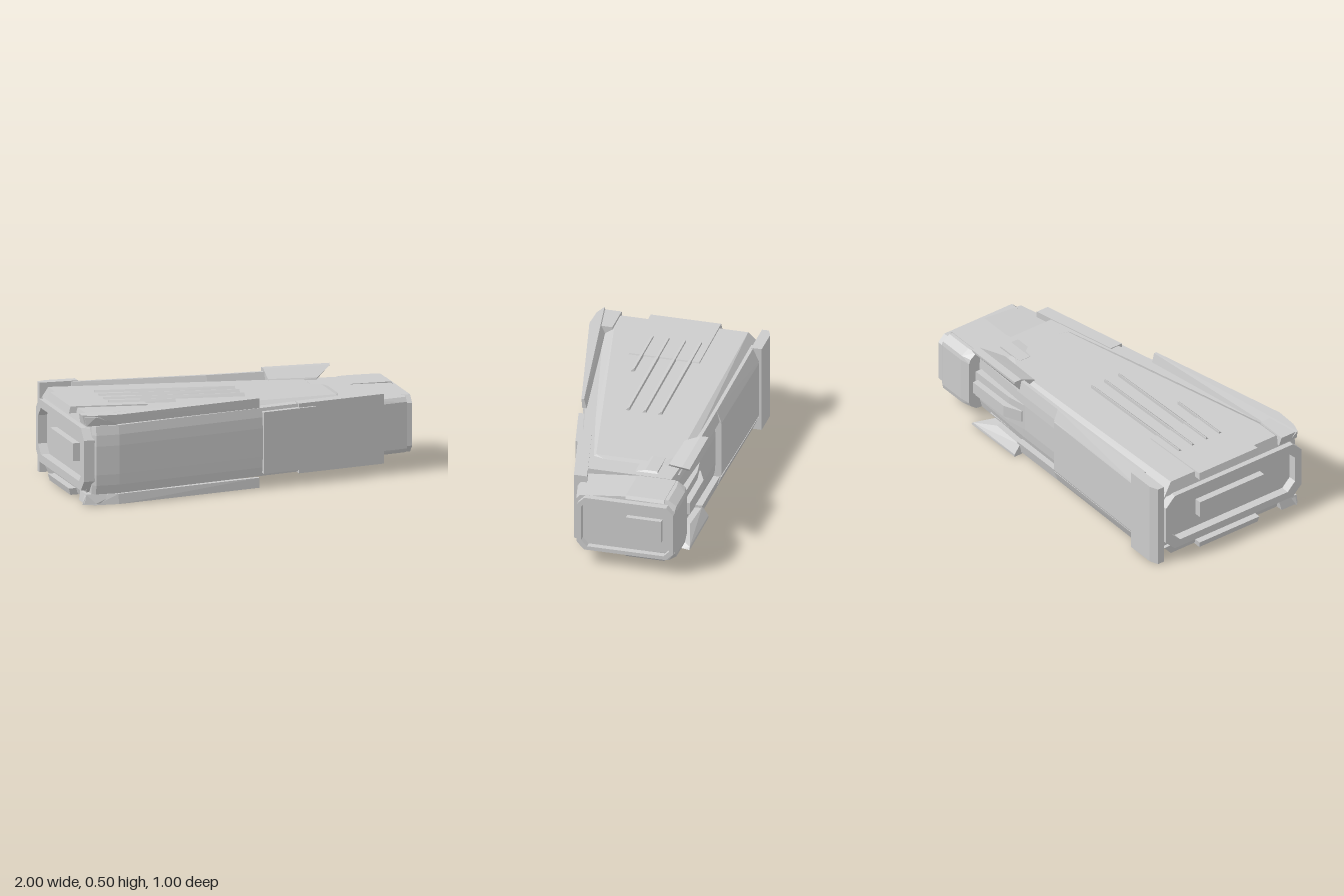
import * as THREE from 'three';
import { ConvexGeometry } from 'three/addons/geometries/ConvexGeometry.js';

const MID = 0.25; // the model mirrors above and below this height

export function createModel() {
  const model = new THREE.Group();
  const grey = new THREE.MeshStandardMaterial({ color: 0xcccccc, flatShading: true });

  const add = (name, geometry) => {
    const mesh = new THREE.Mesh(geometry, grey);
    mesh.name = name;
    model.add(mesh);
  };
  // Layers are [height, outline]; outline points are [x, z, optional lift]
  const points = (layers, flip) => layers.flatMap(([y, outline]) => outline.map(
    ([x, z, lift = 0]) => new THREE.Vector3(x, flip ? 2 * MID - y - lift : y + lift, z)));
  // Convex solid on the top and, flipped, on the underside
  const pair = (name, layers) => {
    add(name + 'Top', new ConvexGeometry(points(layers, false)));
    add(name + 'Bottom', new ConvexGeometry(points(layers, true)));
  };
  // Single convex solid symmetrical about the middle height
  const symmetric = (name, layers) =>
    add(name, new ConvexGeometry([...points(layers, false), ...points(layers, true)]));
  const rect = (x0, x1, z0, z1) => [[x0, z0], [x1, z0], [x1, z1], [x0, z1]];
  // The decks fall gently toward the narrow end
  const tilt = (outline) => outline.map(([x, z]) => [x, z, -0.028 * (x + 0.98)]);
  const box = (name, x0, x1, y0, y1, z0, z1) => {
    const g = new THREE.BoxGeometry(x1 - x0, y1 - y0, z1 - z0);
    add(name, g.translate((x0 + x1) / 2, (y0 + y1) / 2, (z0 + z1) / 2));
  };
  // Eight-sided end rim facing along x, with an opening
  const octagon = (z0, z1, y0, y1, c) => [
    [-z1 + c, y0], [-z0 - c, y0], [-z0, y0 + c], [-z0, y1 - c],
    [-z0 - c, y1], [-z1 + c, y1], [-z1, y1 - c], [-z1, y0 + c],
  ].map(([u, v]) => new THREE.Vector2(u, v));
  const rim = (name, x, depth, [z0, z1, y0, y1], t, c) => {
    const shape = new THREE.Shape(octagon(z0, z1, y0, y1, c));
    shape.holes.push(new THREE.Path(octagon(z0 + t, z1 - t, y0 + t, y1 - t, c * 0.85)));
    const g = new THREE.ExtrudeGeometry(shape, { depth, bevelEnabled: false });
    add(name, g.rotateY(Math.PI / 2).translate(x, 0, 0));
  };
  // Front edge of the wedge
  const edge = (x) => 0.472 - (x + 0.8) * 0.224;

  // Main wedge hull with bowed front
  const hullOutline = (inset) => [
    [-0.95, -0.45 + inset], [0.3, -0.44 + inset], [0.72, -0.42 + inset], [0.72, edge(0.72) - inset],
    [-0.8, 0.5 - inset], [-0.93, 0.5 - inset], [-0.95, 0.48 - inset],
  ];
  symmetric('hull', [[0.33, hullOutline(0)], [0.39, hullOutline(0.005)], [0.44, hullOutline(0.018)]]);
  // Rear end rim and recessed bar
  rim('rearRim', -1, 0.07, [-0.44, 0.49, 0.075, 0.425], 0.045, 0.06);
  box('rearBar', -0.99, -0.93, 0.2, 0.3, -0.2, 0.24);

  // Raised decks sloping to the front and back edges
  pair('deck', [
    [0.42, [[-0.97, -0.43], [0.62, -0.42], [0.68, -0.3], [0.67, -0.13], [0.6, 0.11], [-0.8, 0.44], [-0.97, 0.44]]],
    [0.49, tilt([[-0.95, -0.37], [0.45, -0.37], [0.56, -0.3], [0.56, 0.07], [-0.8, 0.35], [-0.95, 0.35]])],
  ]);
  // Tray under the louvres
  pair('louvreTray', [
    [0.46, rect(-1, -0.54, -0.21, 0.2)],
    [0.497, tilt(rect(-0.99, -0.55, -0.205, 0.195))],
  ]);
  // Long ridged louvres
  [[-0.145, 0.05], [-0.055, 0.05], [0.04, 0.05], [0.13, -0.37]].forEach(([z, end], i) =>
    pair('louvre' + (i + 1), [
      [0.48, tilt([[-0.75, z - 0.02], [end, z - 0.017], [end, z + 0.017], [-0.75, z + 0.02]])],
      [0.508, tilt([[-0.75, z - 0.018], [end, z - 0.015], [end, z - 0.011], [-0.75, z - 0.013]])],
    ]));
  // Stepped vents at the deck end
  for (let i = 0; i < 3; i++) {
    const z = -0.12 + i * 0.055;
    pair('vent' + (i + 1), [[0.41, rect(0.55, 0.71, z, z + 0.035)], [0.434, rect(0.55, 0.7, z, z + 0.035)]]);
  }
  pair('deckStep', [[0.43, rect(0.5, 0.69, -0.31, -0.13)], [0.45, rect(0.5, 0.67, -0.31, -0.24)]]);

  // Raised guard strips on the front edge
  pair('frontGuard', [
    [0.445, [[-0.98, 0.46], [-0.8, 0.48], [0.06, edge(0.06) + 0.01], [0.06, edge(0.06) - 0.015], [-0.8, 0.44], [-0.98, 0.43]]],
    [0.5, [[-1, 0.46], [-0.93, 0.485], [-0.8, 0.49], [0.06, edge(0.06) + 0.015], [0.06, edge(0.06)], [-0.8, 0.46]]],
  ]);
  pair('frontCorner', [
    [0.44, rect(-0.98, -0.8, 0.35, 0.47)],
    [0.492, [[-0.99, 0.36], [-0.8, 0.36], [-0.8, 0.46], [-0.93, 0.49], [-0.99, 0.47]]],
  ]);

  // Back edge bevels, swept guards and corner block
  pair('backBevel', [
    [0.42, [[-0.8, -0.485], [-0.03, -0.475], [-0.03, -0.4], [-0.8, -0.4]]],
    [0.497, [[-0.8, -0.45], [-0.03, -0.45, -0.01], [-0.03, -0.43, -0.01], [-0.8, -0.43]]],
  ]);
  pair('backBevelThin', [
    [0.42, rect(-0.03, 0.32, -0.465, -0.41)],
    [0.487, rect(-0.03, 0.32, -0.45, -0.43)],
  ]);
  pair('backGuard', [
    [0.435, [[0.3, -0.46], [0.52, -0.45], [0.56, -0.34], [0.3, -0.34]]],
    [0.5, [[0.3, -0.495], [0.69, -0.497], [0.68, -0.45], [0.3, -0.45], [0.3, -0.36, -0.04], [0.58, -0.35, -0.045]]],
    [0.485, [[0.3, -0.495], [0.68, -0.495]]],
  ]);
  symmetric('backPanel', [
    [0.41, [[-0.8, -0.485], [-0.03, -0.475], [-0.03, -0.43], [-0.8, -0.43]]],
    [0.44, [[-0.8, -0.475], [-0.03, -0.46], [-0.03, -0.43], [-0.8, -0.43]]],
  ]);
  symmetric('backCorner', [
    [0.5, [[-0.93, -0.5], [-0.76, -0.5], [-0.76, -0.44], [-0.98, -0.44], [-0.98, -0.48]]],
  ]);
  // Handle on the back
  symmetric('handleBase', [[0.33, [[0.25, -0.435], [0.4, -0.46], [0.7, -0.46], [0.7, -0.4], [0.25, -0.4]]]]);
  symmetric('handle', [[0.285, [[0.3, -0.45], [0.4, -0.495], [0.68, -0.495], [0.68, -0.44], [0.3, -0.44]]]]);

  // Overlapping panels on the slanted front
  const panel = (name, x0, x1, half, out) => symmetric(name, [
    [MID + half, [[x0, edge(x0) + out], [x1, edge(x1) + out], [x1, edge(x1) - 0.06], [x0, edge(x0) - 0.06]]],
  ]);
  panel('frontPanelLong', 0.3, 0.82, 0.195, 0.015);
  panel('frontPanelShort', 0.08, 0.4, 0.172, 0.03);

  // Head at the narrow end, highest near the back
  symmetric('head', [
    [0.38, [[0.72, -0.49], [0.78, -0.5], [0.95, -0.5], [0.965, -0.49], [0.965, 0.07], [0.72, 0.125]]],
    [0.405, [[0.72, -0.48], [0.78, -0.495], [0.95, -0.495], [0.965, 0.05], [0.72, 0.11]]],
    [0.435, [[0.72, -0.44], [0.78, -0.45], [0.95, -0.45], [0.96, -0.25], [0.72, -0.2]]],
  ]);
  box('neck', 0.65, 0.75, 0.1, 0.4, -0.4, 0.1);
  rim('headRim', 0.95, 0.05, [-0.49, 0.055, 0.09, 0.41], 0.022, 0.04);
  box('headBar', 0.95, 0.995, 0.19, 0.32, -0.42, -0.22);
  pair('headPlate', [[0.42, rect(0.72, 0.97, -0.43, -0.21)], [0.438, rect(0.72, 0.96, -0.43, -0.21)]]);

  return model;
}
